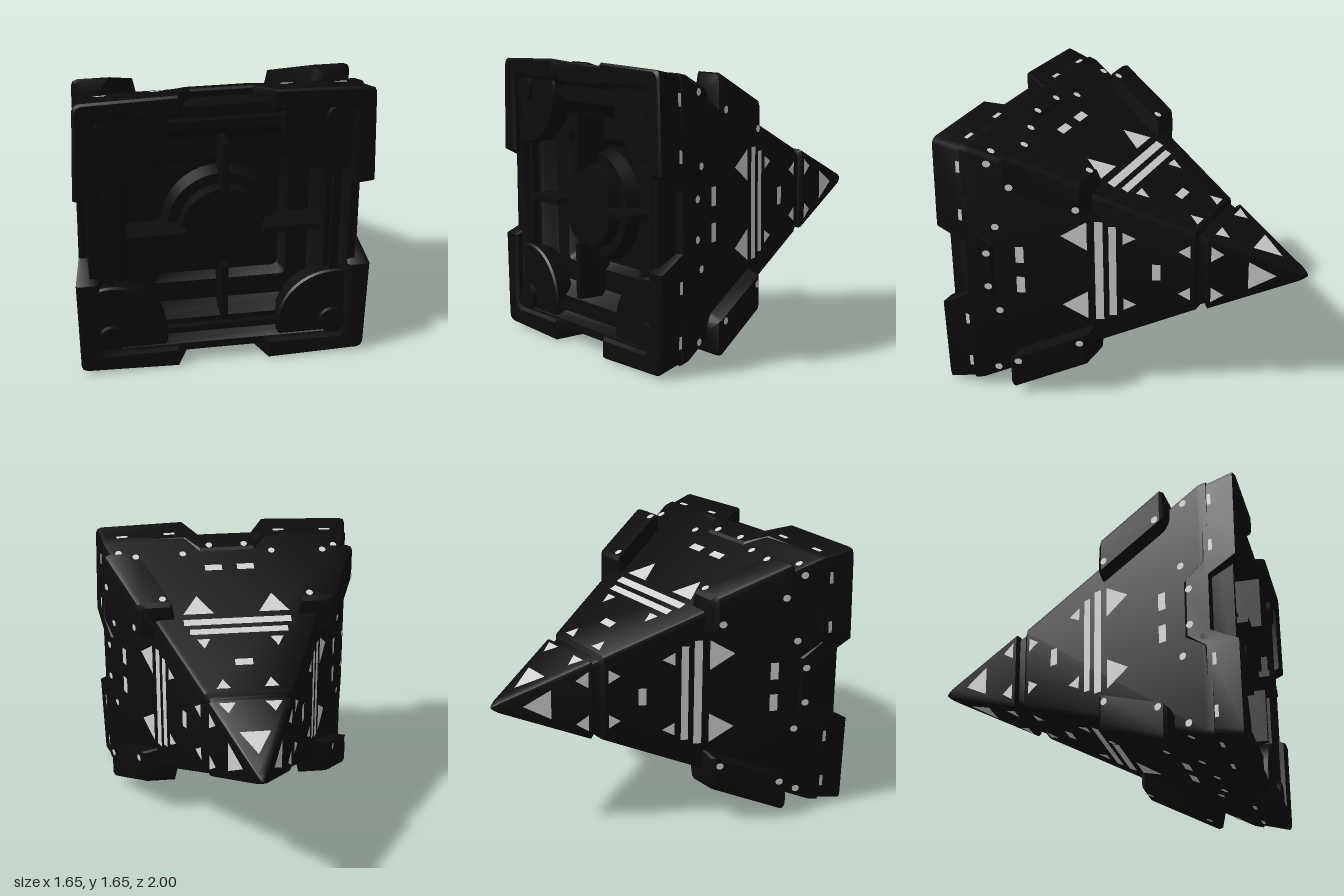
import * as THREE from 'three';
import { toCreasedNormals } from 'three/addons/utils/BufferGeometryUtils.js';

const hull = new THREE.MeshStandardMaterial({ color: 0x0c0c0c });
hull.name = 'black hull';
const paint = new THREE.MeshStandardMaterial({ color: 0xd0d0d0 });
paint.name = 'pale grey markings';

// Heights of the sloping surfaces, measured from the long axis
const bodyH = z => 0.435 * (z + 1);
const tipH = z => bodyH(z) + 0.014;
const blockH = z => bodyH(z) + 0.1;
const bandH = (z, x = 0) =>
  Math.min(bodyH(z) + 0.012, 0.785 + (z - 0.8) * 0.21) - 0.03 * Math.max(0, Math.abs(x) - 0.27);

// Skin between successive loops of points (counterclockwise seen from +z)
function loft(rings, capStart = true, capEnd = true) {
  const pos = [];
  const tri = (...pts) => pts.forEach(p => pos.push(...p));
  for (let r = 0; r + 1 < rings.length; r++) {
    const a = rings[r], b = rings[r + 1], n = a.length;
    for (let i = 0; i < n; i++) {
      const j = (i + 1) % n;
      tri(a[i], a[j], b[j]);
      tri(a[i], b[j], b[i]);
    }
  }
  const first = rings[0], last = rings[rings.length - 1];
  for (let i = 1; i + 1 < first.length; i++) {
    if (capStart) tri(first[0], first[i + 1], first[i]);
    if (capEnd) tri(last[0], last[i], last[i + 1]);
  }
  const g = new THREE.BufferGeometry();
  g.setAttribute('position', new THREE.Float32BufferAttribute(pos, 3));
  g.computeVertexNormals();
  return toCreasedNormals(g, 0.5);
}

// Repeat one side's [height, across, z] points on all four sides
function fourSides(side) {
  const out = [];
  for (let k = 0; k < 4; k++) {
    const c = [1, 0, -1, 0][k], s = [0, 1, 0, -1][k];
    for (const [h, t, z] of side) out.push([h * c - t * s, h * s + t * c, z]);
  }
  return out;
}

function squareRing([z, h]) {
  const r = Math.min(0.03, h * 0.25);
  return fourSides([[h, -h + r, z], [h, h - r, z], [h - r * 0.3, h - r * 0.3, z]]);
}

function part(parent, name, geometry, material = hull) {
  const m = new THREE.Mesh(geometry, material);
  m.name = name;
  parent.add(m);
  return m;
}

export function createModel() {
  const root = new THREE.Group();
  root.name = 'pyramidShip';
  const ship = new THREE.Group();
  ship.name = 'ship';
  ship.position.y = 0.83;
  root.add(ship);

  // Pointed tip, separated from the body by a groove
  part(ship, 'tip', loft([
    [-1, 0.003], [-0.985, 0.016], [-0.96, tipH(-0.96)], [-0.47, tipH(-0.47)], [-0.455, 0.236], [-0.445, 0.21],
  ].map(squareRing)));

  // Body, turning in at the front into a stepped recess
  part(ship, 'body', loft([
    [-0.46, 0.22], [-0.41, 0.238], [-0.395, bodyH(-0.395)], [0.78, bodyH(0.78)], [0.83, 0.785],
    [0.84, 0.745], [0.96, 0.745], [0.96, 0.70], [0.89, 0.67], [0.89, 0.58],
    [0.82, 0.50], [0.82, 0.38], [0.78, 0.34],
  ].map(squareRing)));

  // Rim band that steps back in the middle of every side
  const bandRing = (zAt, hAt) => {
    const stations = [-1, -0.26, -0.17, 0.17, 0.26, 1].map(t => {
      const mid = Math.abs(t) < 0.2;
      const z = zAt(mid ? 0.68 : 0.79, mid ? 0.84 : 1);
      const h = hAt(z, Math.abs(t) === 1 ? 0.77 : t);
      return [h, Math.abs(t) === 1 ? t * (h - 0.035) : t, z];
    });
    const [h, , z] = stations[5];
    return fourSides([...stations, [h - 0.01, h - 0.01, z]]);
  };
  part(ship, 'rimBand', loft([
    bandRing(r => r, z => bandH(z) - 0.04),
    bandRing(r => r, (z, x) => bandH(z, x) - 0.012),
    bandRing(r => r + 0.015, bandH),
    bandRing((r, f) => f - 0.012, bandH),
    bandRing((r, f) => f, (z, x) => bandH(z, x) - 0.014),
    bandRing((r, f) => f, () => 0.72),
    bandRing((r, f) => f - 0.012, () => 0.70),
    bandRing((r, f) => f - 0.11, () => 0.70),
  ], false, false));

  // Thick guards along the four slanted edges
  const guardSection = ([z, drop]) => {
    const h = bodyH(z), o = h + 0.1 - drop, i = h - 0.14 + drop * 0.5;
    const half = [[o, i + 0.03], [o, o - 0.035], [o - 0.01, o - 0.01]];
    return [[h - 0.04, i], ...half, [o - 0.035, o], [i + 0.03, o], [i, h - 0.04]].map(p => [...p, z]);
  };
  const guard = loft([[0.148, 0.02], [0.165, 0], [0.555, 0], [0.575, 0.015], [0.6, 0.08]].map(guardSection));

  // Corner pad inside the front recess
  const padShape = new THREE.Shape();
  padShape.moveTo(0.72, 0.72);
  padShape.lineTo(0.33, 0.72);
  padShape.absarc(0.63, 0.63, 0.31, Math.PI - 0.29, Math.PI * 1.5 + 0.29, false);
  padShape.lineTo(0.72, 0.72);
  const pad = new THREE.ExtrudeGeometry(padShape, {
    depth: 0.09, bevelThickness: 0.012, bevelSize: 0.01, bevelSegments: 1, curveSegments: 24,
  });
  pad.translate(0, 0, 0.85);
  const disc = (r1, r2, z0, z1) =>
    new THREE.CylinderGeometry(r1, r2, z1 - z0, 40).rotateX(Math.PI / 2).translate(0, 0, (z0 + z1) / 2);

  // Central hub
  part(ship, 'hubBase', disc(0.30, 0.33, 0.76, 0.86));
  part(ship, 'hubDisc', disc(0.235, 0.245, 0.8, 0.93));

  // Flat marks on one side, as outlines in x and z
  const box = (x, z0, z1, w) => [[x - w, z0], [x - w, z1], [x + w, z1], [x + w, z0]];
  const tri = (x, tipZ, baseZ, w) => [[x, tipZ], [x - w, baseZ], [x + w, baseZ]];
  const dot = (x, z, r = 0.021) => Array.from({ length: 14 }, (_, i) => {
    const a = i * Math.PI / 7;
    return [x + r * Math.cos(a), z - r * Math.sin(a)];
  });
  const marks = [
    ['tipTriangle', tri(0, -0.84, -0.69, 0.09), tipH],
    ['smallBar', box(0, -0.215, -0.17, 0.053), bodyH],
    ['rearStripe', box(0, 0.02, 0.06, 0.295), bodyH],
    ['frontStripe', box(0, 0.09, 0.135, 0.325), bodyH],
  ];
  for (const s of [-1, 1]) {
    marks.push(
      ['tipSmallTriangle', tri(s * 0.135, -0.56, -0.49, 0.05), tipH],
      ['grooveTriangle', tri(s * 0.14, -0.31, -0.375, 0.043), bodyH],
      ['stripeSmallTriangle', tri(s * 0.22, -0.085, -0.015, 0.04), bodyH],
      ['stripeLargeTriangle', tri(s * 0.23, 0.315, 0.175, 0.093), bodyH],
      ['bodyBar', box(s * 0.1, 0.515, 0.56, 0.053), bodyH],
      ['guardDot', dot(s * 0.445, 0.185), blockH],
      ['guardDot', dot(s * 0.58, 0.525), blockH],
      ['bodyDot', dot(s * 0.28, 0.66), bodyH],
      ['bodyDot', dot(s * 0.68, 0.685), bodyH],
      ['rimDot', dot(s * 0.11, 0.71), bandH],
      ['rimBar', box(s * 0.35, 0.835, 0.857, 0.035), bandH],
      ['rimBar', box(s * 0.65, 0.835, 0.857, 0.035), bandH],
    );
  }
  const markGeometry = (outline, surface) => {
    const g = new THREE.ShapeGeometry(new THREE.Shape(outline.map(([x, z]) => new THREE.Vector2(x, -z))));
    const p = g.attributes.position;
    for (let i = 0; i < p.count; i++) {
      const x = p.getX(i), z = -p.getY(i);
      p.setXYZ(i, x, surface(z, x) + 0.005, z);
    }
    g.computeVertexNormals();
    return g;
  };
  const markSet = marks.map(([name, outline, surface]) => [name, markGeometry(outline, surface)]);

  // Parts repeated on each of the four sides
  for (let k = 0; k < 4; k++) {
    const side = new THREE.Group();
    side.name = 'side' + (k + 1);
    side.rotation.z = k * Math.PI / 2;
    ship.add(side);
    part(side, 'edgeGuard', guard);
    part(side, 'cornerPad', pad);
    part(side, 'cornerStud', disc(0.075, 0.085, 0.93, 0.975)).position.set(0.63, 0.63, 0);
    part(side, 'crossRib', new THREE.BoxGeometry(0.036, 0.32, 0.2)).position.set(0, 0.37, 0.895);
    part(side, 'recessBar', new THREE.BoxGeometry(0.76, 0.035, 0.06)).position.set(0, 0.63, 0.9);
    for (const [name, g] of markSet) part(side, name, g, paint);
  }
  return root;
}
